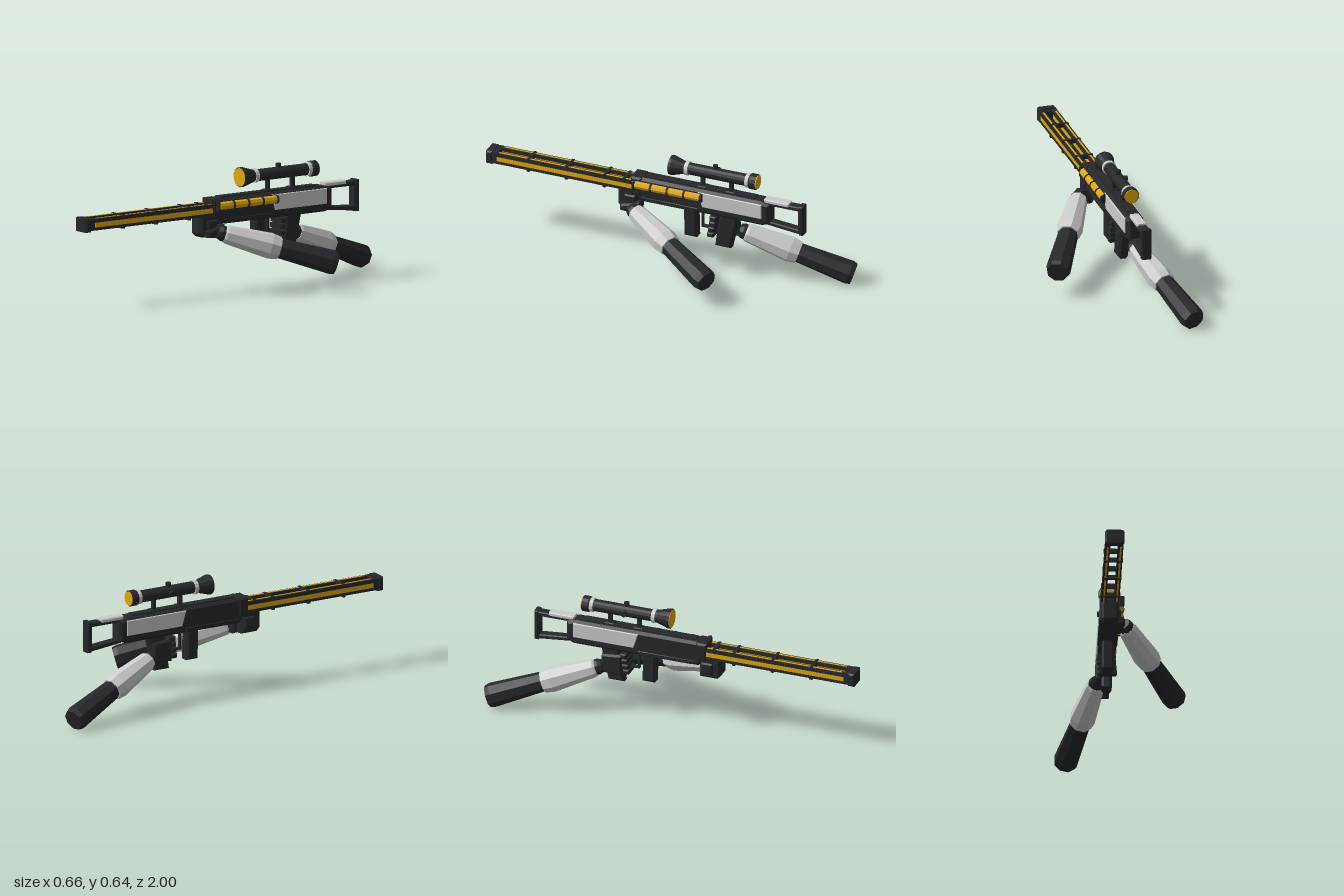
import * as THREE from 'three';

const CX = -0.078; // centre line of the rifle
const paint = (color) => new THREE.MeshStandardMaterial({ color, flatShading: true });

export function createModel() {
  const root = new THREE.Group();
  const dark = paint(0x27282b), gold = paint(0xe0a80f), grey = paint(0xcccccc);
  dark.side = THREE.DoubleSide;

  const add = (name, geo, mat, parent = root) => {
    const mesh = new THREE.Mesh(geo, mat);
    mesh.name = name;
    parent.add(mesh);
    return mesh;
  };

  // Side outline of [z, y] points, extruded across x with chamfered edges
  const plate = (name, mat, pts, width, x = CX, c = 0.008, hole) => {
    const shape = new THREE.Shape(pts.map((p) => new THREE.Vector2(...p)));
    if (hole) shape.holes.push(new THREE.Path(hole.map((p) => new THREE.Vector2(...p))));
    const geo = new THREE.ExtrudeGeometry(shape, {
      depth: width - 2 * c, bevelEnabled: c > 0, bevelThickness: c, bevelSize: c, bevelOffset: -c, bevelSegments: 1,
    });
    geo.rotateY(-Math.PI / 2).translate(x + width / 2 - c, 0, 0);
    return add(name, geo, mat);
  };
  const block = (name, mat, x, width, y0, y1, z0, z1, c = 0.008) =>
    plate(name, mat, [[z0, y0], [z1, y0], [z1, y1], [z0, y1]], width, x, c);
  const box = (name, mat, x, y, z, w, h, d) =>
    add(name, new THREE.BoxGeometry(w, h, d).translate(x, y, z), mat);

  // Turned part along any direction; profile is [radius, distance]
  const turned = (name, mat, profile, sides, pos, dir, parent = root) => {
    const geo = new THREE.LatheGeometry(profile.map((p) => new THREE.Vector2(...p)), sides);
    const mesh = add(name, geo, mat, parent);
    mesh.position.copy(pos);
    mesh.quaternion.setFromUnitVectors(new THREE.Vector3(0, 1, 0), dir);
    return mesh;
  };
  const V = (x, y, z) => new THREE.Vector3(x, y, z);
  const Z = V(0, 0, 1);
  const rod = (name, mat, r, z0, z1, x, y, sides) =>
    turned(name, mat, [[0, 0], [r, 0], [r, z1 - z0], [0, z1 - z0]], sides, V(x, y, z0), Z);

  // Receiver
  plate('receiver', dark, [[0.13, 0.37], [0.17, 0.41], [0.17, 0.507], [-0.55, 0.507], [-0.6, 0.495],
    [-0.6, 0.385], [-0.56, 0.37]], 0.092, CX, 0.014);
  block('receiverCollar', dark, CX, 0.104, 0.405, 0.507, 0.12, 0.18, 0.01);
  box('topRail', dark, CX, 0.507, -0.2, 0.05, 0.012, 0.62);
  for (const s of [-1, 1]) {
    plate('sidePanel', grey, [[-0.225, 0.412], [-0.56, 0.412], [-0.56, 0.494], [-0.2, 0.494]], 0.012, CX + s * 0.046, 0.003);
    plate('lowerRib', dark, [[0.1, 0.378], [-0.2, 0.378], [-0.2, 0.4], [0.12, 0.4]], 0.012, CX + s * 0.046, 0.003);
  }

  // Stock frame, butt plate and cheek rest
  plate('stockFrame', dark, [[-0.58, 0.372], [-0.77, 0.352], [-0.77, 0.51], [-0.58, 0.507]], 0.05, CX, 0.005,
    [[-0.6, 0.392], [-0.6, 0.485], [-0.755, 0.485], [-0.755, 0.378]]);
  block('buttPlate', dark, CX, 0.056, 0.348, 0.515, -0.785, -0.762, 0.005);
  block('cheekRest', grey, CX, 0.052, 0.495, 0.518, -0.705, -0.565, 0.005);

  // Twin barrel rails with gold inlays, ribs and muzzle
  for (const s of [-1, 1]) {
    const x = CX + s * 0.034;
    box('barrelRailTop', dark, x, 0.471, 0.57, 0.026, 0.02, 0.82);
    box('barrelRailBottom', dark, x, 0.427, 0.57, 0.026, 0.014, 0.82);
    box('barrelGoldCore', gold, x, 0.448, 0.55, 0.022, 0.026, 0.78);
    for (const y of [0.481, 0.42]) box('barrelGoldStrip', gold, x, y, 0.55, 0.009, 0.004, 0.76);
  }
  for (const z of [0.22, 0.33, 0.545, 0.76]) {
    for (const y of [0.474, 0.424]) box('barrelRib', dark, CX, y, z, 0.1, 0.022, 0.016);
  }
  block('muzzle', dark, CX, 0.1, 0.412, 0.486, 0.965, 1.0, 0.008);
  block('muzzleNeck', dark, CX, 0.09, 0.42, 0.48, 0.94, 0.97, 0.004);

  // Gold cell feed on the left flank
  for (let i = 0; i < 4; i++) {
    const z = 0.148 - i * 0.094;
    rod('energyCell', gold, 0.021, z - 0.086, z, -0.021, 0.47, 8);
    rod('cellRing', dark, 0.024, z - 0.095, z - 0.084, -0.021, 0.47, 8);
  }
  block('cellHousing', dark, -0.015, 0.03, 0.443, 0.497, 0.148, 0.165, 0.005);
  box('cellBracket', dark, -0.032, 0.47, -0.035, 0.012, 0.046, 0.37);

  // Foregrip, magazine and pistol grip
  plate('foregrip', dark, [[0.14, 0.31], [0.235, 0.31], [0.255, 0.33], [0.255, 0.43], [0.235, 0.445], [0.14, 0.445]],
    0.09, -0.078, 0.012);
  block('foregripFlange', dark, -0.078, 0.114, 0.335, 0.4, 0.15, 0.215, 0.008);
  plate('magazine', dark, [[-0.11, 0.39], [-0.18, 0.39], [-0.185, 0.215], [-0.115, 0.215]], 0.062, CX, 0.01);
  plate('pistolGrip', dark, [[-0.315, 0.39], [-0.42, 0.39], [-0.375, 0.187], [-0.285, 0.187]], 0.054, CX, 0.012);
  plate('trigger', dark, [[-0.205, 0.39], [-0.215, 0.39], [-0.215, 0.28], [-0.205, 0.28]], 0.018, CX, 0);
  box('triggerGuard', dark, CX, 0.28, -0.26, 0.02, 0.01, 0.11);

  // Rear hand around the grip
  for (let i = 0; i < 4; i++) {
    block('finger', dark, CX - 0.004 + i * 0.002, 0.1, 0.338 - i * 0.031, 0.364 - i * 0.031, -0.3 + i * 0.004, -0.265 + i * 0.004, 0.006);
  }
  plate('palm', dark, [[-0.29, 0.355], [-0.4, 0.345], [-0.41, 0.24], [-0.29, 0.235]], 0.034, -0.119, 0.01);

  // Front hand under the foregrip
  plate('frontPalm', dark, [[0.12, 0.3], [0.23, 0.312], [0.23, 0.345], [0.12, 0.375]], 0.07, -0.035, 0.01);

  // Scope
  const scopeAt = (z) => V(CX, 0.597, z);
  turned('scopeTube', dark, [[0, 0], [0.042, 0], [0.042, 0.035], [0.035, 0.045], [0.032, 0.06], [0.032, 0.4],
    [0.035, 0.415], [0.053, 0.475], [0.053, 0.488], [0, 0.488]], 14, scopeAt(-0.518), Z);
  rod('scopeRing', grey, 0.038, -0.134, -0.114, CX, 0.597, 14);
  rod('scopeRing', grey, 0.038, -0.478, -0.458, CX, 0.597, 14);
  rod('frontLens', gold, 0.049, -0.034, -0.027, CX, 0.597, 14);
  rod('rearLens', gold, 0.038, -0.523, -0.514, CX, 0.597, 14);
  const knob = [[0, 0], [0.015, 0], [0.015, 0.05], [0, 0.05]];
  turned('elevationKnob', dark, knob, 8, scopeAt(-0.28), V(0, 1, 0));
  turned('windageKnob', dark, knob, 8, scopeAt(-0.28), V(-1, 0, 0));
  for (const z of [-0.21, -0.37]) {
    box('scopeMount', dark, CX, 0.541, z, 0.022, 0.062, 0.018);
    block('scopeFoot', dark, CX, 0.045, 0.503, 0.518, z - 0.025, z + 0.025, 0.004);
  }

  // Arms: wrist, flared forearm cuff and upper arm
  const arm = (name, a, b, c) => {
    const group = new THREE.Group();
    group.name = name;
    root.add(group);
    const dir = c.clone().sub(a).normalize();
    const l1 = a.distanceTo(b), l2 = a.distanceTo(c);
    turned('wrist', dark, [[0, -0.035], [0.034, -0.035], [0.042, -0.015], [0.042, 0.03], [0, 0.03]], 8, a, dir, group);
    turned('forearm', grey, [[0, 0.0], [0.044, 0.0], [0.05, 0.012], [0.069, l1 - 0.05], [0.06, l1], [0, l1]], 8, a, dir, group);
    turned('upperArm', dark, [[0, l1 - 0.02], [0.052, l1 - 0.02], [0.065, l2 - 0.025], [0.058, l2], [0, l2]], 8, a, dir, group);
  };
  arm('leftArm', V(0.01, 0.328, 0.135), V(0.145, 0.245, -0.12), V(0.283, 0.158, -0.385));
  arm('rightArm', V(-0.13, 0.262, -0.43), V(-0.2, 0.165, -0.7), V(-0.276, 0.06, -0.977));

  return root;
}
